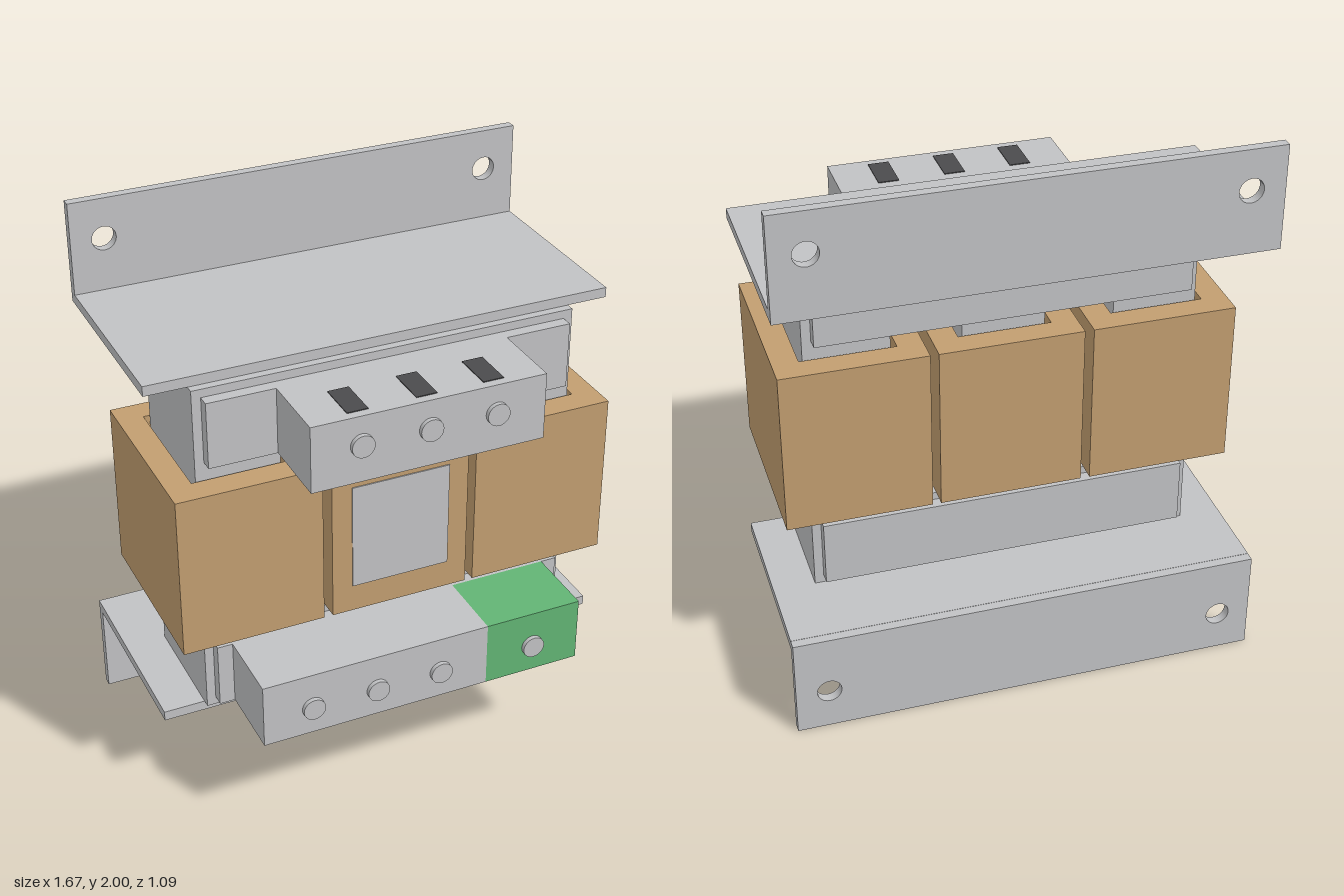
import * as THREE from 'three';

const mat = (name, color) => {
  const m = new THREE.MeshStandardMaterial({ color });
  m.name = name;
  return m;
};

export function createModel() {
  const steel = mat('steel grey', 0xc1c2c4);
  const copper = mat('coil tan', 0xc29e70);
  const green = mat('earth green', 0x62b474);
  const dark = mat('slot dark grey', 0x4b4b4d);

  const model = new THREE.Group();
  model.name = 'transformer';

  const add = (name, geometry, material, parent = model) => {
    const mesh = new THREE.Mesh(geometry, material);
    mesh.name = name;
    parent.add(mesh);
    return mesh;
  };

  // Box given by its limits on each axis
  const box = (name, [x0, x1], [y0, y1], [z0, z1], material, parent) =>
    add(name, new THREE.BoxGeometry(x1 - x0, y1 - y0, z1 - z0), material, parent)
      .position.set((x0 + x1) / 2, (y0 + y1) / 2, (z0 + z1) / 2);

  const rect = (C, x0, x1, y0, y1) => new C([
    new THREE.Vector2(x0, y0), new THREE.Vector2(x1, y0),
    new THREE.Vector2(x1, y1), new THREE.Vector2(x0, y1),
  ]);
  const extrude = (shape, depth) =>
    new THREE.ExtrudeGeometry(shape, { depth, bevelEnabled: false, curveSegments: 24 });

  // Three-legged core with two windows
  const coreShape = rect(THREE.Shape, -0.687, 0.687, 0.375, 1.63);
  coreShape.holes.push(
    rect(THREE.Path, -0.39, -0.145, 0.673, 1.333),
    rect(THREE.Path, 0.145, 0.39, 0.673, 1.333),
  );
  add('core', extrude(coreShape, 0.445), steel).position.z = -0.23;

  // Hollow coils, one around each leg
  [[-0.795, -0.285], [-0.253, 0.253], [0.282, 0.792]].forEach(([x0, x1], i) => {
    const wall = 0.09;
    const shape = rect(THREE.Shape, x0, x1, -0.32, 0.335);
    shape.holes.push(rect(THREE.Path, x0 + wall, x1 - wall, -0.225, 0.245));
    const geometry = extrude(shape, 0.597).rotateX(-Math.PI / 2);
    add(`coil${i + 1}`, geometry, copper).position.y = 0.703;
  });
  box('ratingPlate', [-0.18, 0.18], [0.805, 1.2], [0.32, 0.324], steel);

  // Angle brackets: drilled upright plate and shelf
  [['upperBracket', 1.63, 2.0, 1.63, 1.855], ['lowerBracket', 0, 0.373, 0.338, 0.152]]
    .forEach(([name, y0, y1, shelfY, holeY]) => {
      const bracket = new THREE.Group();
      bracket.name = name;
      model.add(bracket);
      const plate = rect(THREE.Shape, -0.835, 0.835, y0, y1);
      for (const x of [-0.717, 0.717]) {
        plate.holes.push(new THREE.Path().absarc(x, holeY, 0.043, 0, Math.PI * 2, true));
      }
      add('uprightPlate', extrude(plate, 0.035), steel, bracket).position.z = -0.546;
      box('shelf', [-0.835, 0.835], [shelfY, shelfY + 0.036], [-0.512, 0.185], steel, bracket);
    });

  // Clamp bars on both faces of both yokes
  const upperY = [1.36, 1.6], lowerY = [0.405, 0.645];
  for (const y of [upperY, lowerY]) {
    box('frontClampBar', [-0.655, 0.655], y, [0.215, 0.258], steel);
    box('backClampBar', [-0.655, 0.655], y, [-0.274, -0.23], steel);
  }

  // Terminal blocks
  const blockZ = [0.258, 0.53];
  box('upperTerminalBlock', [-0.415, 0.415], upperY, blockZ, steel);
  box('lowerTerminalBlock', [-0.6, 0.238], lowerY, blockZ, steel);
  box('earthTerminalBlock', [0.238, 0.598], lowerY, blockZ, green);

  // Screw on the front and wire slot on the outer face for each terminal
  const terminal = (x, screwY, slotY) => {
    const screw = add('terminalScrew', new THREE.CylinderGeometry(0.04, 0.04, 0.016, 32), steel);
    screw.rotation.x = Math.PI / 2;
    screw.position.set(x, screwY, 0.538);
    box('wireSlot', [x - 0.037, x + 0.037], [slotY - 0.003, slotY + 0.003], [0.347, 0.498], dark);
  };
  for (const x of [-0.24, 0, 0.238]) terminal(x, 1.496, upperY[1]);
  for (const x of [-0.42, -0.181, 0.058, 0.417]) terminal(x, 0.51, lowerY[0]);

  return model;
}
